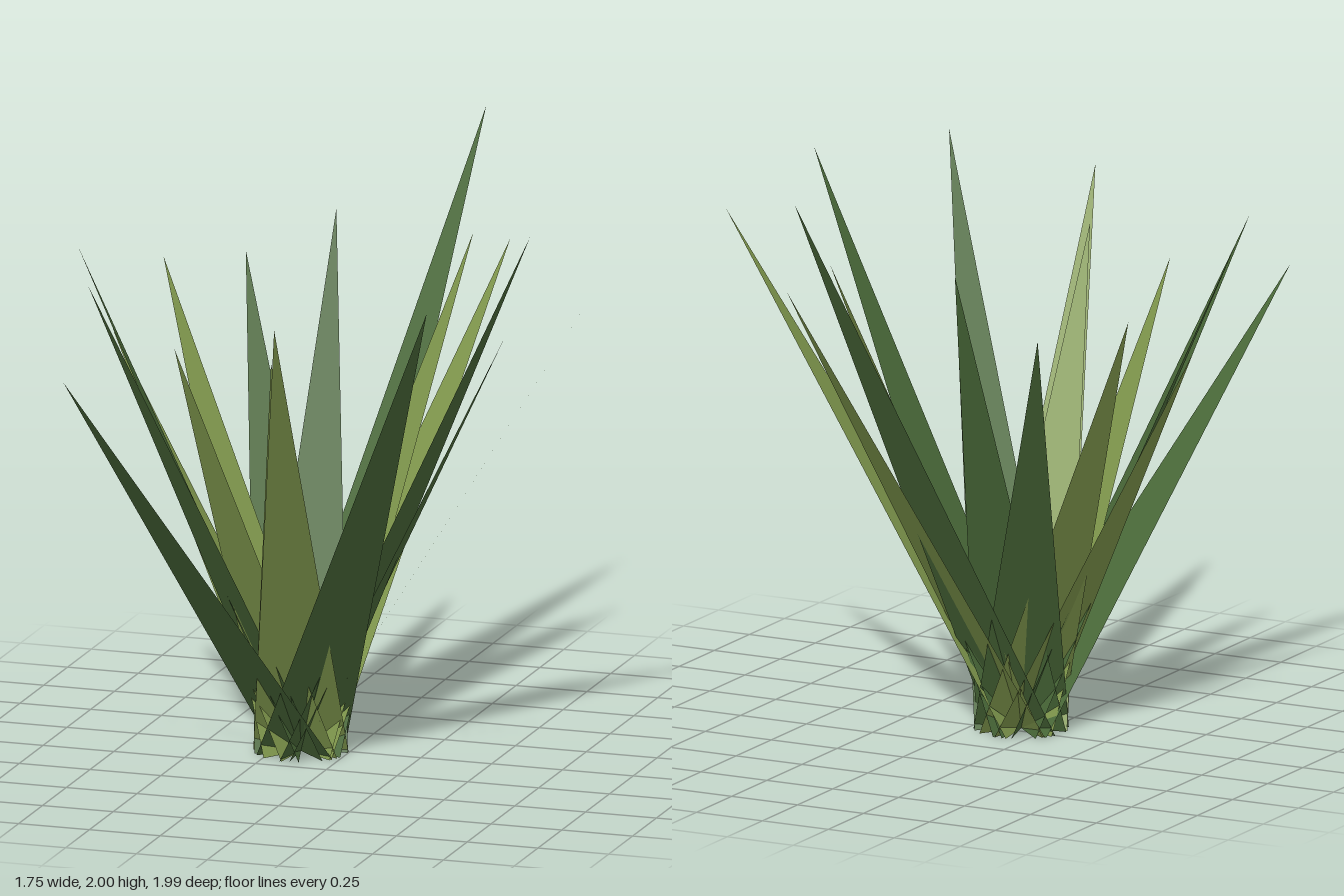
import * as THREE from 'three';

// Rosette of flat, sharply pointed blades that all cross at one root.
export function createModel() {
  const plant = new THREE.Group();
  plant.name = 'spikyPlant';

  const deepGreen = new THREE.MeshStandardMaterial({ color: 0x4a6a39, side: THREE.DoubleSide, flatShading: true });
  deepGreen.name = 'deepGreen';
  const oliveGreen = new THREE.MeshStandardMaterial({ color: 0x80984d, side: THREE.DoubleSide, flatShading: true });
  oliveGreen.name = 'oliveGreen';

  const root = new THREE.Vector3(-0.16, 0, 0.04);
  const halfWidth = 0.16;

  // A blade is one triangle: a level base line through the root, square to
  // the direction of lean, rising to the tip.
  function addBlade(material, name, [x, y, z]) {
    const tip = new THREE.Vector3(x, y, z);
    const side = new THREE.Vector3(z - root.z, 0, root.x - x).setLength(halfWidth);
    const geometry = new THREE.BufferGeometry().setFromPoints([
      root.clone().add(side), tip, root.clone().sub(side),
    ]);
    geometry.computeVertexNormals();
    const blade = new THREE.Mesh(geometry, material);
    blade.name = name;
    plant.add(blade);
  }

  // Blade tips
  const deepTips = [
    [0.145, 2.0, -1.0], [-0.25, 1.71, -0.6], [-0.58, 1.53, -0.63],
    [-0.88, 1.74, 0.245], [-0.72, 1.71, 0.615], [-0.69, 1.46, 0.96],
    [0.575, 1.79, 0.905], [0.69, 1.88, 0.16], [0.54, 1.47, -0.01],
  ];
  const oliveTips = [
    [0.32, 1.62, -0.73], [0.25, 1.68, -0.55], [-0.78, 1.56, -0.36],
    [-0.85, 1.39, -0.03], [-0.405, 1.52, 0.64], [0.065, 1.71, 0.99],
    [0.0, 1.55, 0.83], [0.87, 1.71, -0.13],
  ];
  deepTips.forEach((tip, i) => addBlade(deepGreen, `deepGreenBlade${i + 1}`, tip));
  oliveTips.forEach((tip, i) => addBlade(oliveGreen, `oliveBlade${i + 1}`, tip));

  return plant;
}
